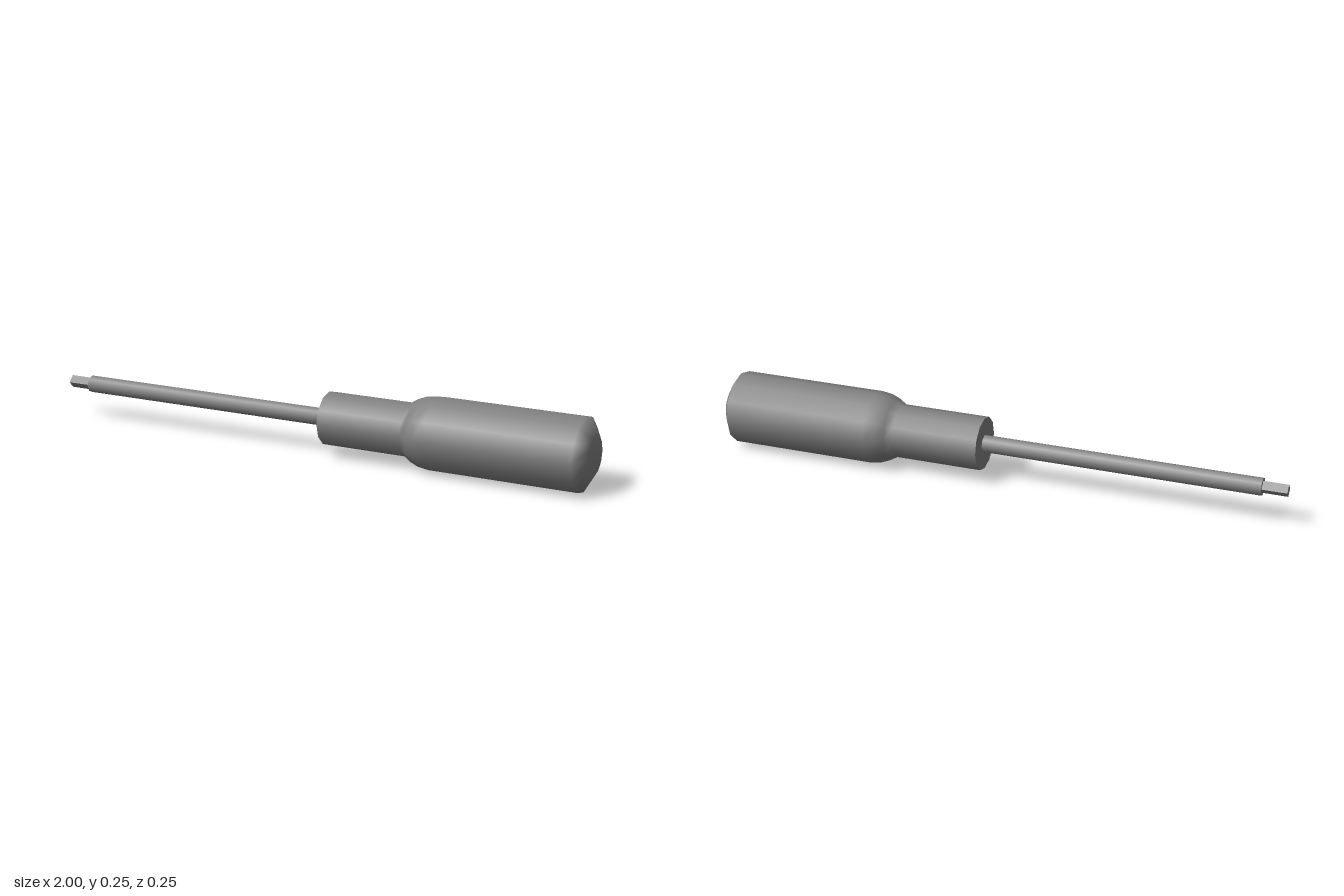
import * as THREE from 'three';

const AXIS_Y = 0.127;

export function createModel() {
  const model = new THREE.Group();
  const smooth = new THREE.MeshStandardMaterial({ color: 0x808080 });
  const flat = new THREE.MeshStandardMaterial({ color: 0x808080, flatShading: true });

  // Adds a part turned about the long axis, which is laid along +x
  const add = (name, geometry, material) => {
    geometry.rotateZ(-Math.PI / 2);
    const mesh = new THREE.Mesh(geometry, material);
    mesh.name = name;
    mesh.position.y = AXIS_Y;
    model.add(mesh);
  };
  const rod = (radius, from, to, sides) =>
    new THREE.CylinderGeometry(radius, radius, to - from, sides).translate(0, (from + to) / 2, 0);

  // Grip: slim neck, rounded flare, thick body and chamfered butt (radius, position)
  const profile = [
    [0.0925, 0.05], [0.0925, 0.355], [0.108, 0.38], [0.12, 0.41], [0.126, 0.45],
    [0.126, 0.965], [0.066, 1], [0, 1],
  ].map(([r, x]) => new THREE.Vector2(r, x));
  add('handle', new THREE.LatheGeometry(profile, 12), smooth);

  // Flat front face of the neck, facing the shaft
  const face = new THREE.CircleGeometry(0.0925, 12).rotateX(Math.PI / 2).translate(0, 0.05, 0);
  add('handleFrontFace', face, flat);

  // Shaft and its narrower square tip
  add('shaft', rod(0.031, -0.915, 0.06, 8), smooth);
  add('tip', rod(0.022, -1, -0.91, 4), flat);

  return model;
}
